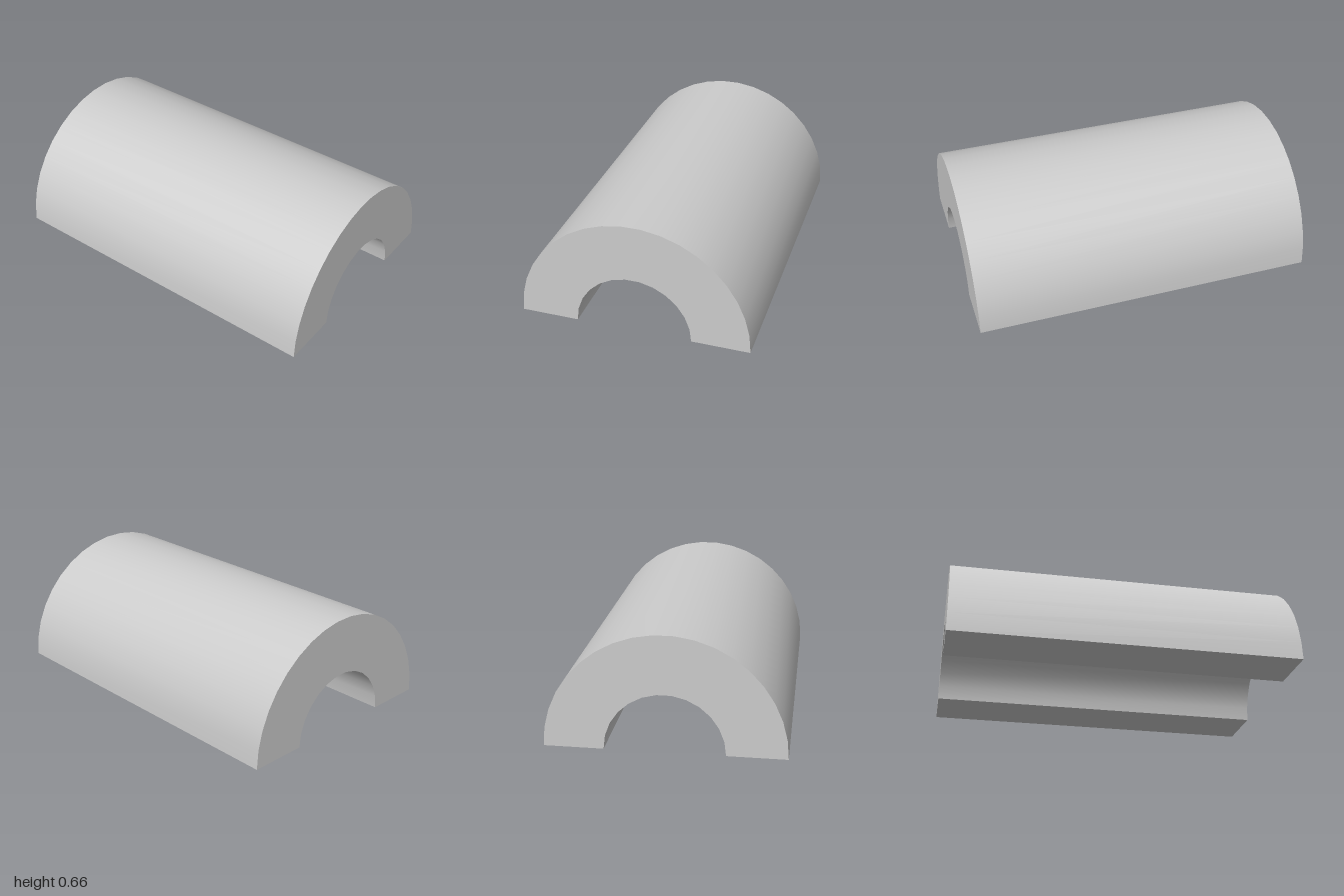
import * as THREE from 'three';
import { toCreasedNormals } from 'three/addons/utils/BufferGeometryUtils.js';

// Points along a half circle above y = 0, from +x round to -x
function halfCircle(radius, segments) {
  return Array.from({ length: segments + 1 }, (_, i) => {
    const a = (Math.PI * i) / segments;
    return new THREE.Vector2(radius * Math.cos(a), radius * Math.sin(a));
  });
}

export function createModel() {
  const group = new THREE.Group();
  group.name = 'halfPipe';

  // Arch cross-section: outer half circle, then back along the inner one
  const profile = new THREE.Shape([
    ...halfCircle(2 / 3, 19),
    ...halfCircle(1 / 3, 13).reverse(),
  ]);

  // Extrude the arch, centre it and lay its length along x
  const geometry = new THREE.ExtrudeGeometry(profile, { depth: 2, bevelEnabled: false });
  geometry.translate(0, 0, -1);
  geometry.rotateY(Math.PI / 2);

  // Smooth curved walls, sharp edges at the ends and feet
  const arch = new THREE.Mesh(
    toCreasedNormals(geometry, 0.5),
    new THREE.MeshStandardMaterial({ color: 0xcccccc })
  );
  arch.name = 'arch';
  group.add(arch);
  return group;
}
